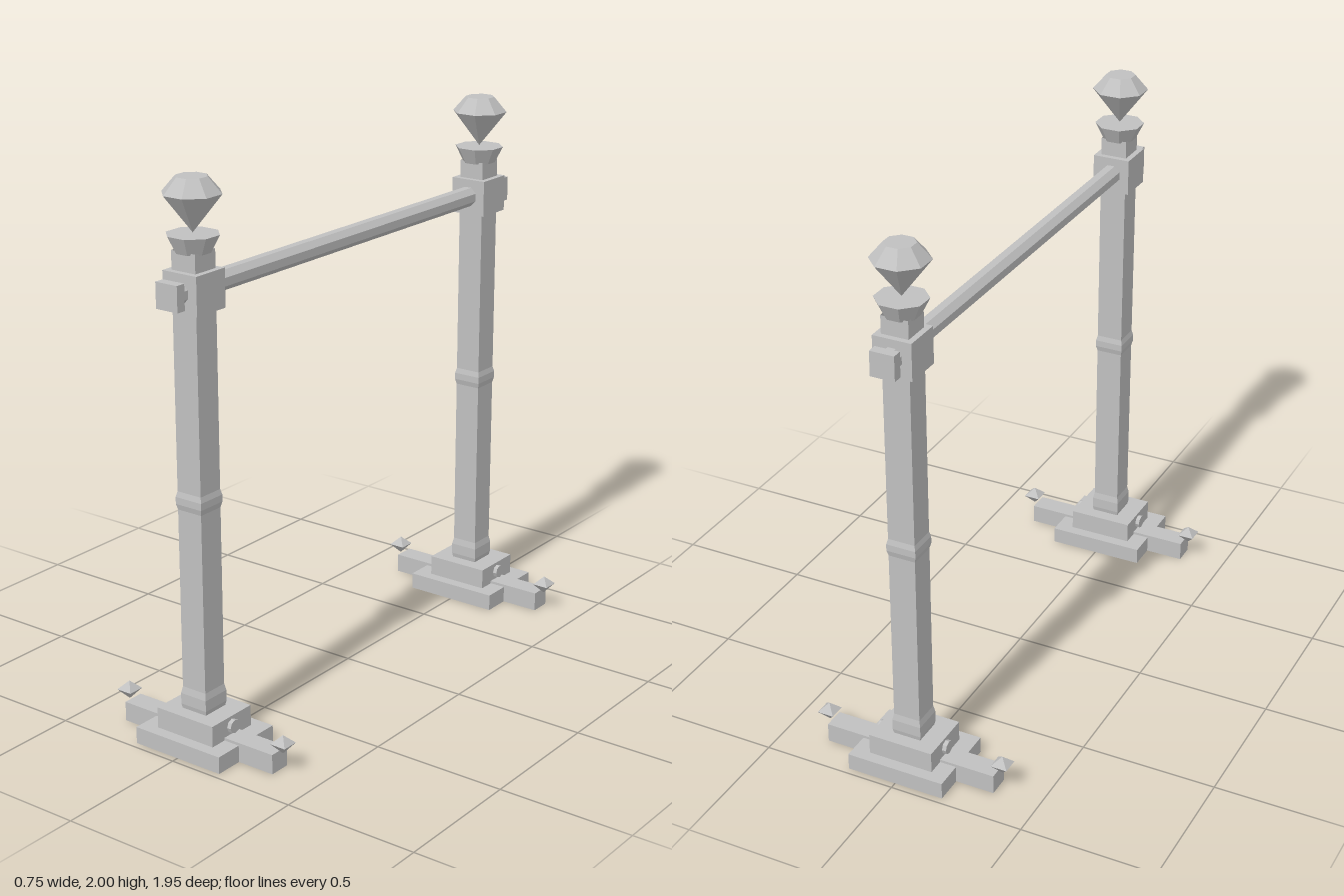
import * as THREE from 'three';

const grey = new THREE.MeshStandardMaterial({ color: 0xc0c0c0, flatShading: true, side: THREE.DoubleSide });
grey.name = 'plain grey';

function part(parent, name, geometry, x = 0, y = 0, z = 0) {
  const mesh = new THREE.Mesh(geometry, grey);
  mesh.name = name;
  mesh.position.set(x, y, z);
  parent.add(mesh);
  return mesh;
}

const box = (w, h, d) => new THREE.BoxGeometry(w, h, d);

// Box without its underside
function openBox(w, h, d) {
  const g = box(w, h, d);
  const index = Array.from(g.index.array);
  index.splice(18, 6);
  g.setIndex(index);
  g.clearGroups();
  return g;
}

// Many-sided turned shape with flat sides facing the axes; profile holds [half width, height]
function turned(profile, sides) {
  const k = 1 / Math.cos(Math.PI / sides);
  const points = profile.map(([r, y]) => new THREE.Vector2(r * k, y));
  return new THREE.LatheGeometry(points, sides).rotateY(Math.PI / sides);
}

function createPost() {
  const post = new THREE.Group();

  // Stepped foot
  part(post, 'footPlate', openBox(0.37, 0.062, 0.29), 0, 0.031);
  part(post, 'footBeam', openBox(0.66, 0.072, 0.08), 0, 0.036);
  part(post, 'footBlock', box(0.245, 0.077, 0.205), 0, 0.1);
  for (const s of [-1, 1]) {
    part(post, 'footPeg', new THREE.CylinderGeometry(0.025, 0.025, 0.03, 8).rotateZ(Math.PI / 2), s * 0.123, 0.103);
    part(post, 'footDiamond', turned([[0, 0.067], [0.031, 0.104], [0, 0.135]], 4), s * 0.345);
  }

  // Square shaft with two slightly raised bands
  part(post, 'shaft', turned([
    [0.05, 0.13], [0.055, 0.155], [0.055, 0.195], [0.05, 0.22],
    [0.05, 0.87], [0.055, 0.89], [0.055, 0.915], [0.05, 0.935], [0.05, 1.76],
  ], 4));

  // Rail socket and the plate closing the rail end
  part(post, 'socket', box(0.142, 0.134, 0.142), 0, 1.628);
  part(post, 'railEndPlate', box(0.09, 0.09, 0.036), 0, 1.63, 0.117);

  // Flared cap and faceted finial
  part(post, 'cap', turned([[0, 1.752], [0.056, 1.752], [0.084, 1.812], [0, 1.812]], 8));
  part(post, 'finial', turned([[0, 1.815], [0.094, 1.945], [0.05, 2], [0, 2]], 8));
  return post;
}

export function createModel() {
  const model = new THREE.Group();
  model.name = 'railFrame';
  for (const s of [1, -1]) {
    const post = createPost();
    post.name = s > 0 ? 'frontPost' : 'backPost';
    post.position.z = s * 0.83;
    if (s < 0) post.rotation.y = Math.PI;
    model.add(post);
  }

  // Octagonal rail through both sockets
  const r = 0.035 / Math.cos(Math.PI / 8);
  const railShape = new THREE.CylinderGeometry(r, r, 1.87, 8).rotateY(Math.PI / 8).rotateX(Math.PI / 2);
  part(model, 'rail', railShape, 0, 1.63);
  return model;
}
